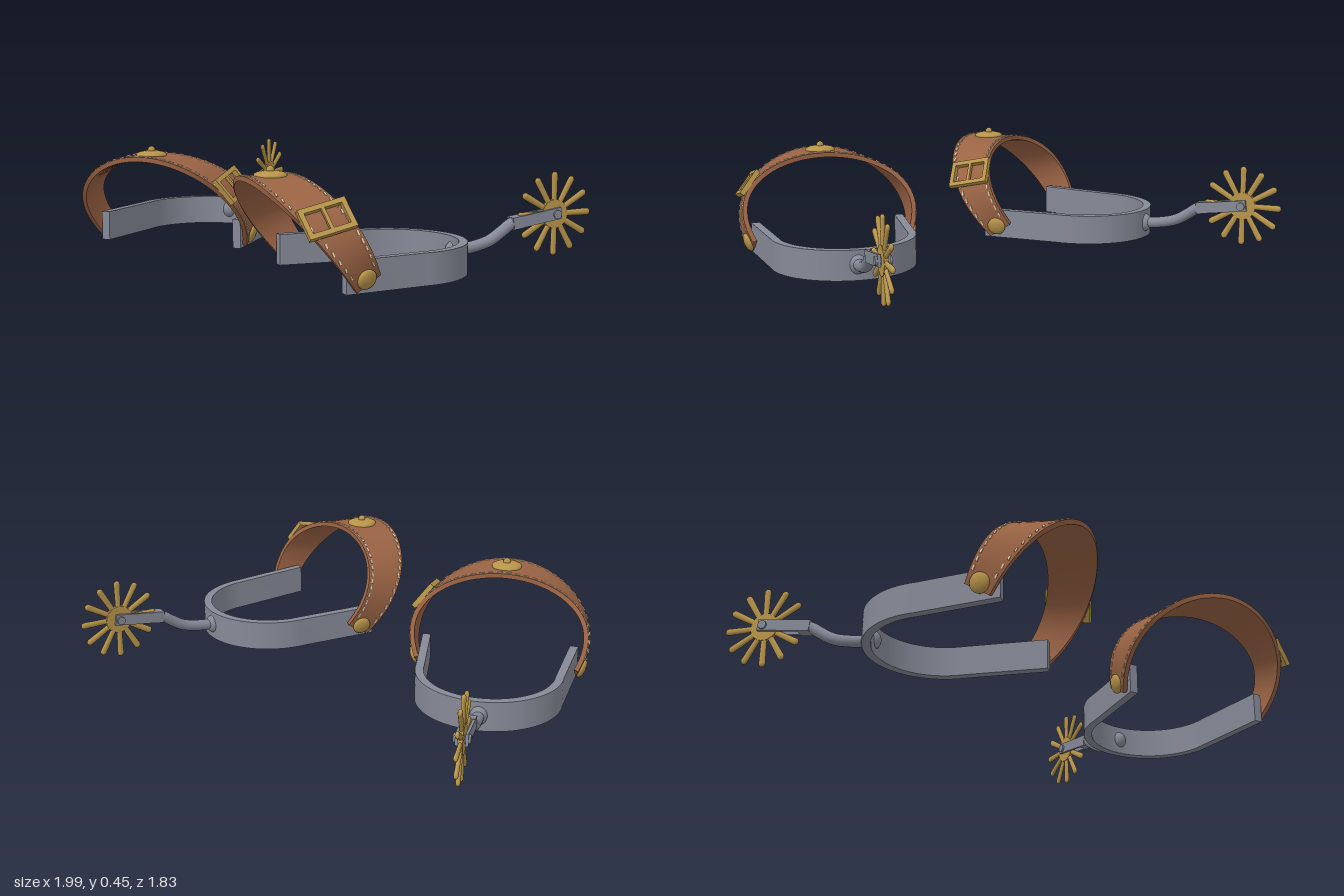
import * as THREE from 'three';
import { toCreasedNormals } from 'three/addons/utils/BufferGeometryUtils.js';

const mat = (name, color) => {
  const m = new THREE.MeshStandardMaterial({ color });
  m.name = name;
  return m;
};
const V = (x, y, z) => new THREE.Vector3(x, y, z);

// Strap centre line and local axes: t = 0 is the left end, PI the right end
const strapPoint = (t) => {
  const s = Math.sin(t);
  return V(Math.cos(t) * (0.35 + 0.075 * s * (2 - s)), 0.06 + 0.34 * s, 0.275 + 0.23 * s);
};
const strapFrame = (t) => {
  const s = Math.sin(t);
  const p = strapPoint(t);
  const along = strapPoint(t + 0.002).sub(strapPoint(t - 0.002)).normalize();
  const across = V(0, -0.6 * (1 - s), 1).normalize();
  const out = along.clone().cross(across).normalize();
  return { p, across, out, side: out.clone().cross(across), half: 0.06 + 0.047 * s };
};

// Leather strap swept from rectangular cross-sections
function strapGeometry() {
  const n = 48, pos = [], idx = [], th = 0.01;
  for (let i = 0; i <= n; i++) {
    const f = strapFrame(-0.06 + (Math.PI + 0.12) * i / n);
    for (const [u, v] of [[-1, -1], [1, -1], [1, 1], [-1, 1]]) {
      const q = f.p.clone().addScaledVector(f.across, u * f.half).addScaledVector(f.out, v * th);
      pos.push(q.x, q.y, q.z);
    }
    if (i < n) for (let j = 0; j < 4; j++) {
      const a = i * 4 + j, b = i * 4 + (j + 1) % 4;
      idx.push(a, b, b + 4, a, b + 4, a + 4);
    }
  }
  const e = n * 4;
  idx.push(0, 2, 1, 0, 3, 2, e, e + 1, e + 2, e, e + 2, e + 3);
  const g = new THREE.BufferGeometry();
  g.setAttribute('position', new THREE.Float32BufferAttribute(pos, 3));
  g.setIndex(idx);
  return toCreasedNormals(g, 0.6);
}

// U-shaped heel band
function bandGeometry() {
  const s = new THREE.Shape();
  s.moveTo(0.337, -0.345);
  s.lineTo(0.305, 0);
  s.absarc(0, 0, 0.305, 0, Math.PI, false);
  s.lineTo(-0.337, -0.345);
  s.lineTo(-0.301, -0.345);
  s.lineTo(-0.27, 0);
  s.absarc(0, 0, 0.27, Math.PI, 0, true);
  s.lineTo(0.301, -0.345);
  const g = new THREE.ExtrudeGeometry(s, { depth: 0.126, bevelEnabled: false, curveSegments: 40 });
  g.rotateX(-Math.PI / 2);
  return toCreasedNormals(g, 0.5);
}

const domeGeometry = (r, h) => new THREE.LatheGeometry(
  [[r, -0.004], [r, h * 0.3], [r * 0.8, h * 0.65], [r * 0.45, h * 0.92], [0, h]]
    .map(([x, y]) => new THREE.Vector2(x, y)), 32);

function createSpur(M) {
  const spur = new THREE.Group();
  const add = (name, geo, m, parent = spur) => {
    const mesh = new THREE.Mesh(geo, m);
    mesh.name = name;
    parent.add(mesh);
    return mesh;
  };
  // Seat an object on the strap: its y points outward, its z across the strap
  const onStrap = (obj, t, across = 0, lift = 0.01) => {
    const f = strapFrame(t);
    obj.position.copy(f.p).addScaledVector(f.across, across).addScaledVector(f.out, lift);
    obj.quaternion.setFromRotationMatrix(new THREE.Matrix4().makeBasis(f.side, f.out, f.across));
    return obj;
  };

  add('heelBand', bandGeometry(), M.steel);

  // Shank with its boss through the band
  const boss = add('shankBoss', new THREE.SphereGeometry(1, 24, 16), M.steel);
  boss.scale.set(0.036, 0.042, 0.042);
  boss.position.set(0, 0.066, -0.292);
  const path = new THREE.CatmullRomCurve3([V(0, 0.066, -0.3), V(0, 0.073, -0.37), V(0, 0.093, -0.45),
    V(0, 0.125, -0.505), V(0, 0.155, -0.55), V(0, 0.163, -0.585)]);
  add('shank', new THREE.TubeGeometry(path, 32, 0.024, 16), M.steel);

  // Fork that carries the rowel
  const fork = new THREE.Group();
  fork.name = 'fork';
  fork.position.set(0, 0.173, -0.66);
  fork.rotation.x = 0.14;
  spur.add(fork);
  add('forkBase', new THREE.BoxGeometry(0.05, 0.05, 0.05), M.steel, fork).position.z = 0.085;
  for (const x of [-0.0195, 0.0195])
    add('forkProng', new THREE.BoxGeometry(0.011, 0.048, 0.23), M.steel, fork).position.set(x, 0, -0.005);

  // Twelve-pointed rowel on its pin
  const rowel = new THREE.Group();
  rowel.name = 'rowel';
  rowel.position.set(0, 0.185, -0.757);
  spur.add(rowel);
  const hub = add('rowelHub', new THREE.CylinderGeometry(0.06, 0.06, 0.018, 32), M.brass, rowel);
  hub.rotation.z = Math.PI / 2;
  const pin = add('rowelPin', new THREE.CylinderGeometry(0.018, 0.018, 0.066, 16), M.steel, rowel);
  pin.rotation.z = Math.PI / 2;
  for (let i = 0; i < 12; i++) {
    const spoke = new THREE.Group();
    spoke.name = 'rowelPoint';
    spoke.rotation.x = i * Math.PI / 6;
    spoke.scale.x = 0.65;
    rowel.add(spoke);
    add('pointShaft', new THREE.CylinderGeometry(0.0145, 0.012, 0.12, 12, 1, true), M.brass, spoke).position.y = 0.1;
    add('pointTip', new THREE.SphereGeometry(0.0145, 12, 8), M.brass, spoke).position.y = 0.16;
  }

  // Strap and stitching
  add('strap', strapGeometry(), M.leather);
  const dash = new THREE.BoxGeometry(0.02, 0.005, 0.007);
  for (let i = 0; i < 34; i++) {
    const t = 0.1 + (Math.PI - 0.2) * i / 33;
    for (const s of [-1, 1])
      onStrap(add('stitch', dash, M.thread), t, s * (strapFrame(t).half - 0.015), 0.011);
  }

  // Strap studs and top rosette
  for (const t of [0, Math.PI]) onStrap(add('strapStud', domeGeometry(0.04, 0.018), M.brass), t);
  onStrap(add('rosette', domeGeometry(0.064, 0.018), M.brass), Math.PI / 2);
  onStrap(add('rosetteKnob', new THREE.SphereGeometry(0.016, 16, 12), M.brass), Math.PI / 2, 0, 0.03);

  // Buckle frame with its prong
  const buckle = onStrap(new THREE.Group(), 0.68, 0, 0.02);
  buckle.name = 'buckle';
  spur.add(buckle);
  for (const s of [-1, 1]) {
    add('buckleSide', new THREE.BoxGeometry(0.125, 0.022, 0.02), M.brass, buckle).position.z = s * 0.086;
    add('buckleEnd', new THREE.BoxGeometry(0.02, 0.022, 0.19), M.brass, buckle).position.x = s * 0.0525;
  }
  add('buckleProng', new THREE.BoxGeometry(0.115, 0.014, 0.014), M.brass, buckle).position.y = 0.004;
  return spur;
}

export function createModel() {
  const M = {
    steel: mat('steel', 0x868a97),
    brass: mat('brass', 0xb8954a),
    leather: mat('leather', 0x9a6344),
    thread: mat('thread', 0xe4d6b4),
  };
  const model = new THREE.Group();
  model.name = 'pairOfSpurs';
  for (const [name, x, z, deg] of [['rightSpur', -0.69, -0.006, 15], ['leftSpur', 0.53, 0.295, -30]]) {
    const spur = createSpur(M);
    spur.name = name;
    spur.position.set(x, 0, z);
    spur.rotation.y = THREE.MathUtils.degToRad(deg);
    model.add(spur);
  }
  return model;
}
